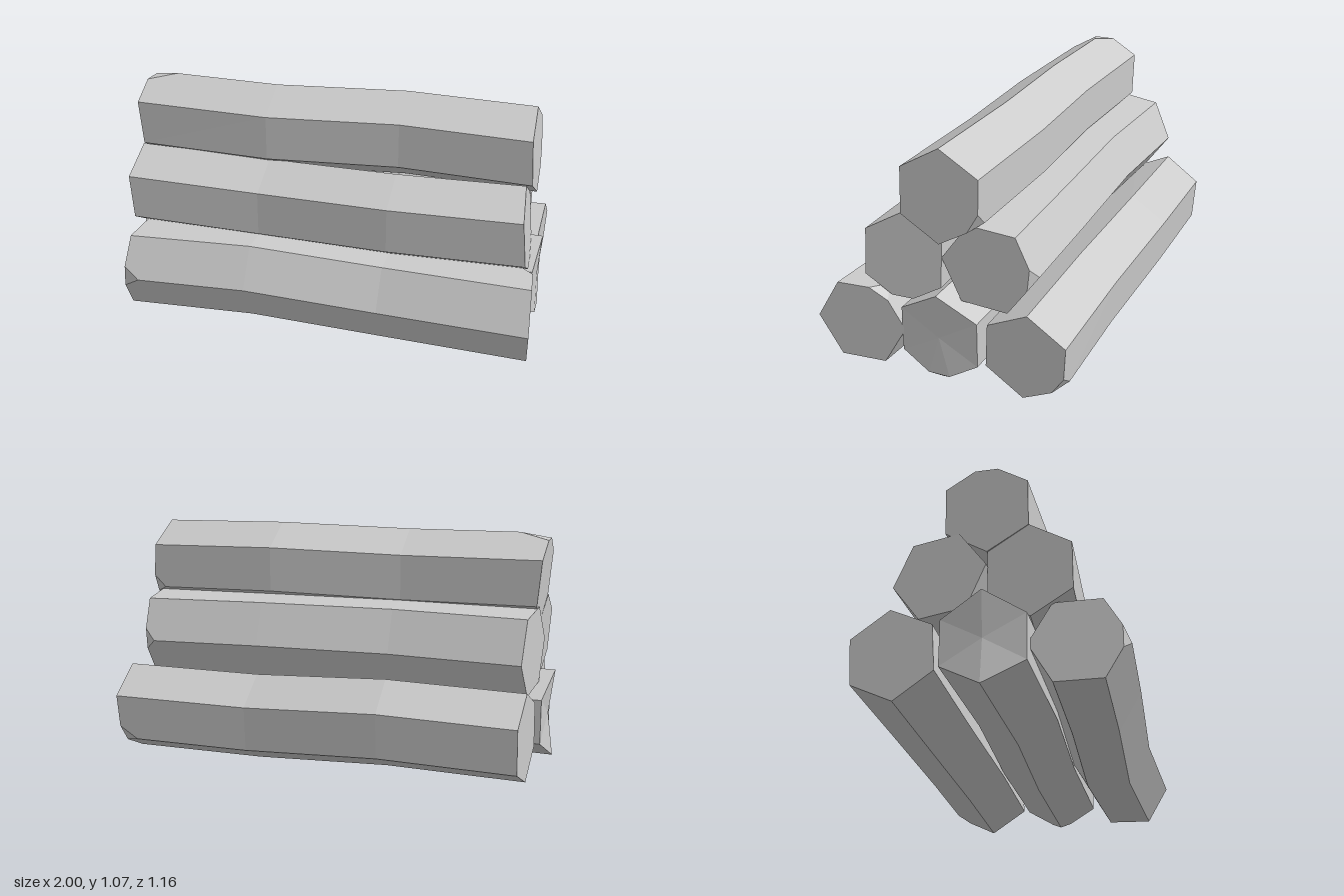
import * as THREE from 'three';

const SIDES = 6;
const RADIUS = 0.205;
const CHIP_WIDTH = 0.28;

// Ring of corners around x; corner 0 sits at angle `start` (0 = +z, 90 = +y).
// xAt gives the x of a corner from the cosine and sine of its angle.
function ring(z, y, start, xAt) {
  return Array.from({ length: SIDES }, (_, k) => {
    const a = THREE.MathUtils.degToRad(start + k * 360 / SIDES);
    const c = Math.cos(a), s = Math.sin(a);
    return new THREE.Vector3(xAt(c, s), y + RADIUS * s, z + RADIUS * c);
  });
}

// bend: [dz, dy] shift of each inner ring
// ends: left and right saw cut as [x, tilt along z, tilt along y, saddle]
// chips: [side, corner, depth] for a corner broken off an end
function logGeometry({ z, y, start, bend, ends, chips }) {
  const positions = [];
  // Convex polygon as a fan, reversed for the left end
  const face = (points, flip = false) => {
    const p = flip ? [...points].reverse() : points;
    for (let i = 1; i < p.length - 1; i++) {
      for (const v of [p[0], p[i], p[i + 1]]) positions.push(v.x, v.y, v.z);
    }
  };
  const next = k => (k + 1) % SIDES;

  // Middle stretch, slightly bent
  const inner = bend.map(([dz, dy], i) => ring(z + dz, y + dy, start, () => (i ? 0.32 : -0.3)));
  for (let k = 0; k < SIDES; k++) {
    face([inner[0][k], inner[1][k], inner[1][next(k)], inner[0][next(k)]]);
  }

  // Outer stretches with tilted, chipped ends
  ends.forEach(([x, tiltZ, tiltY, saddle = 0], i) => {
    const flip = i === 0;
    const mid = inner[i];
    const end = ring(z, y, start, (c, s) => x + tiltZ * c + tiltY * s + saddle * (c * c - s * s));
    const corners = end.map((p, k) => {
      const chip = chips.find(([side, corner]) => side === i && corner === k);
      if (!chip) return { before: p, after: p, back: [] };
      return {
        before: p.clone().lerp(end[(k + SIDES - 1) % SIDES], CHIP_WIDTH),
        after: p.clone().lerp(end[next(k)], CHIP_WIDTH),
        back: [p.clone().lerp(mid[k], chip[2] / Math.abs(p.x - mid[k].x))],
      };
    });
    const center = new THREE.Vector3(x, y, z);
    corners.forEach((c, k) => {
      const n = corners[next(k)];
      face([mid[k], ...c.back, c.after, n.before, ...n.back, mid[next(k)]], flip);
      face([center, n.before, c.after], flip);
      if (c.back.length) {
        face([c.back[0], c.before, c.after], flip);
        face([center, c.after, c.before], flip);
      }
    });
  });

  const geometry = new THREE.BufferGeometry();
  geometry.setAttribute('position', new THREE.Float32BufferAttribute(positions, 3));
  geometry.computeVertexNormals();
  return geometry;
}

export function createModel() {
  const group = new THREE.Group();
  group.name = 'logPile';
  const material = new THREE.MeshStandardMaterial({ color: 0xcccccc, flatShading: true });
  const addLog = (name, log) => {
    const mesh = new THREE.Mesh(logGeometry(log), material);
    mesh.name = name;
    group.add(mesh);
  };

  // Bottom row
  addLog('bottomFrontLog', {
    z: 0.37, y: 0.225, start: 0, bend: [[-0.015, 0.02], [-0.035, -0.008]],
    ends: [[-0.9, 0, 0.01], [0.98, 0.02, 0]], chips: [[0, 0, 0.08], [1, 2, 0.06]],
  });
  addLog('bottomMiddleLog', {
    z: 0, y: 0.23, start: 30, bend: [[0.01, 0.012], [-0.01, 0.008]],
    ends: [[-0.974, 0, 0, 0.026], [0.967, 0, 0, -0.013]], chips: [[1, 4, 0.04]],
  });
  addLog('bottomBackLog', {
    z: -0.385, y: 0.215, start: 34, bend: [[-0.012, 0.02], [0.015, -0.01]],
    ends: [[-0.925, -0.015, 0], [0.94, -0.005, 0.01]], chips: [[1, 3, 0.08]],
  });

  // Middle row
  addLog('middleFrontLog', {
    z: 0.18, y: 0.55, start: 30, bend: [[-0.02, -0.018], [0.012, -0.008]],
    ends: [[-0.92, -0.01, -0.015], [0.925, 0.01, -0.02]], chips: [[1, 4, 0.06]],
  });
  addLog('middleBackLog', {
    z: -0.2, y: 0.56, start: 6, bend: [[0.022, 0.008], [0.005, 0.008]],
    ends: [[-0.92, -0.025, 0], [0.895, 0.015, 0]], chips: [[1, 3, 0.05]],
  });

  // Top
  addLog('topLog', {
    z: 0, y: 0.86, start: 30, bend: [[0.02, -0.005], [-0.018, 0.01]],
    ends: [[-0.938, -0.005, -0.018], [0.925, 0, -0.012]], chips: [[0, 1, 0.14], [1, 3, 0.06]],
  });
  return group;
}
